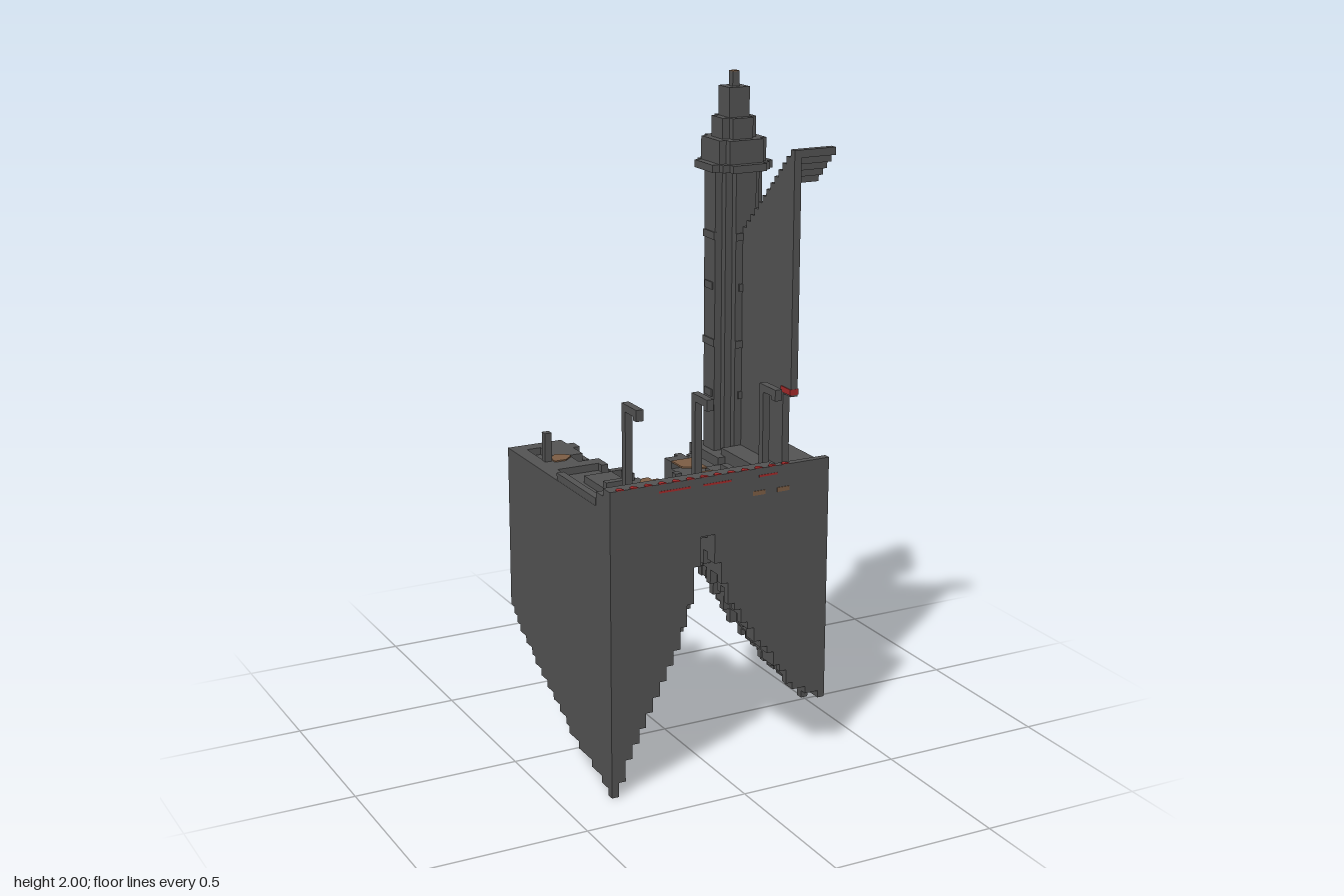
import * as THREE from 'three';
import { mergeGeometries } from 'three/addons/utils/BufferGeometryUtils.js';

const U = 2 / 91, H = 16 * U; // block size, half width of the plot
const TOP = 39;               // ground level in blocks

const mat = (name, color) => {
  const m = new THREE.MeshStandardMaterial({ color });
  m.name = name;
  return m;
};

// box geometry from its bounds
function span(x0, x1, y0, y1, z0, z1) {
  return new THREE.BoxGeometry(x1 - x0, y1 - y0, z1 - z0)
    .translate((x0 + x1) / 2, (y0 + y1) / 2, (z0 + z1) / 2);
}

// value of the last step starting at or before z
const step = (table, z) => {
  let v = table[0][1];
  for (const [s, x] of table) if (z >= s) v = x;
  return v;
};

// straight interpolation through points
function lerp(points, t) {
  for (let i = 1; i < points.length; i++) {
    const [a, va] = points[i - 1], [b, vb] = points[i];
    if (t <= b) return va + (vb - va) * Math.max(0, (t - a) / (b - a));
  }
  return points[points.length - 1][1];
}

// repeatable noise from 0 to 1
const noise = (a, b) => {
  const s = Math.sin(a * 12.99 + b * 78.23) * 43758.55;
  return s - Math.floor(s);
};

// inner edges of the two rocks, stepping along z
const LEFT_EDGE = [[-0.36, -0.176], [-0.31, -0.154], [-0.2, -0.22], [-0.132, -0.154], [-0.066, -0.176],
  [-0.044, -0.198], [-0.022, -0.132], [0, -0.11], [0.066, -0.132], [0.11, -0.11], [0.132, -0.088], [0.2, -0.066], [0.264, -0.044]];
const RIGHT_EDGE = [[-0.36, 0.36], [-0.286, 0.33], [-0.242, 0.286], [-0.198, 0.264], [-0.176, 0.198], [-0.154, 0.176],
  [-0.132, 0.154], [-0.11, 0.132], [-0.088, 0.11], [-0.066, 0.066], [-0.044, 0.022], [0.066, 0], [0.088, -0.022],
  [0.11, 0], [0.132, -0.022], [0.242, -0.044]];
// underside height along the outer sides
const LEFT_BASE = [[-0.35, 0.36], [-0.3, 0.31], [-0.2, 0.25], [-0.1, 0.19], [0, 0.14], [0.1, 0.085], [0.2, 0.06], [0.3, 0.025], [0.34, 0]];
const RIGHT_BASE = [[-0.29, 0.83], [-0.2, 0.65], [-0.1, 0.5], [0.05, 0.33], [0.2, 0.21], [0.35, 0.18]];
// rise of the underside from outer side (0) to inner edge (1)
const LEFT_RISE = [[0, 0], [0.07, 0.06], [0.27, 0.23], [0.5, 0.38], [0.67, 0.5], [0.8, 0.66], [0.88, 0.82], [1, 0.97]];
const RIGHT_RISE = [[0, 0], [0.22, 0.06], [0.38, 0.18], [0.52, 0.3], [0.67, 0.42], [0.8, 0.55], [0.87, 0.66], [0.94, 0.82], [1, 0.96]];

// a rock of square columns; side -1 or +1 is its outer side in x
function rock(side) {
  const [edges, base, rise] = side < 0 ? [LEFT_EDGE, LEFT_BASE, LEFT_RISE] : [RIGHT_EDGE, RIGHT_BASE, RIGHT_RISE];
  const parts = [];
  for (let k = 0; k < 32; k++) {
    const z = -H + (k + 0.5) * U, edge = step(edges, z), low = lerp(base, z);
    for (let i = 0; i < 32; i++) {
      const x = -H + (i + 0.5) * U;
      if ((x - edge) * side < 0) continue;
      const t = (H - x * side - U / 2) / (H - edge * side);
      // the rear of the left rock ends in a steep cliff
      const steep = side < 0 ? lerp([[-0.35, 0.6], [0.15, 0.9], [0.35, 1]], z) : 1;
      let bottom = Math.round((low + (TOP * U - low) * lerp(rise, t) * steep) / U);
      const inside = i > 0 && i < 31 && k > 0 && k < 31;
      if (inside) bottom += Math.round((noise(i, k) - 0.4) * 2.2);
      // shallow hollows in the ground
      const hollow = inside && i > 1 && k > 1 && k < 27 && noise(i >> 2, k >> 2) < 0.4 ? 1 : 0;
      const top = TOP - hollow;
      bottom = Math.max(0, Math.min(bottom, top - 1));
      parts.push(span(x - U / 2, x + U / 2, bottom * U, top * U, z - U / 2, z + U / 2));
    }
  }
  return mergeGeometries(parts);
}

export function createModel() {
  const group = new THREE.Group();
  const stone = mat('dark stone', 0x545454), wood = mat('brown wood', 0x7d5e45);
  const red = mat('red', 0xa52a2a), pale = mat('pale glass', 0xc8c8c8);
  const add = (name, geometry, material) => {
    const m = new THREE.Mesh(geometry, material);
    m.name = name;
    group.add(m);
  };

  add('leftRock', rock(-1), stone);
  add('rightRock', rock(1), stone);

  // front walkway bridging the rocks, with its parapet and platform
  add('walkway', span(-H, 0.33, 0.835, 0.9, 0.264, H), stone);
  add('parapet', span(-H, 0.176, 0.9, 0.923, 0.308, 0.33), stone);
  add('frontLedge', span(-H, H, 0.895, 0.923, 0.33, H), stone);
  add('platform', span(0.154, H, 0.857, 0.9, 0.066, H), stone);
  add('towerFoot', span(0.13, 0.33, 0.85, 0.879, -0.088, 0.09), stone);
  for (const [x, z, w, d, h] of [[-0.3, -0.18, 0.022, 0.022, 0.945], [-0.34, 0.13, 0.022, 0.26, 0.879],
    [-0.23, 0.14, 0.07, 0.022, 0.879], [-0.165, 0.085, 0.022, 0.044, 0.879], [0.12, 0.2, 0.022, 0.11, 0.879]])
    add('groundBlock', span(x - w / 2, x + w / 2, 0.835, h, z - d / 2, z + d / 2), stone);

  // red points along the top of the ledge
  const points = [];
  for (let i = 0; i < 13; i++) {
    const x = -0.319 + i * 2 * U;
    const tri = new THREE.Shape([[-0.011, 0], [0.011, 0], [0.011, 0.009], [0, 0.02], [-0.011, 0.009]].map(p => new THREE.Vector2(...p)));
    points.push(new THREE.ExtrudeGeometry(tri, { depth: 0.003, bevelEnabled: false })
      .rotateX(-Math.PI / 2).translate(x, 0.922, H));
  }
  add('redTrim', mergeGeometries(points), red);
  for (const [a, b] of [[-0.2, -0.1], [-0.06, 0.03], [0.12, 0.18]])
    add('redStripe', span(a, b, 0.897, 0.903, H - 0.002, H + 0.001), red);

  // wooden patches on the ground, as flat outlines in x and z
  const patches = [
    [[-0.255, -0.22], [-0.222, -0.195], [-0.222, -0.18], [-0.25, -0.155], [-0.286, -0.155], [-0.286, -0.19]],
    [[0.022, 0], [0.088, 0], [0.088, 0.1], [0.07, 0.1], [0.022, 0.066]],
    [[-0.132, 0.11], [-0.11, 0.11], [-0.11, 0.132], [-0.09, 0.132], [-0.09, 0.198], [-0.068, 0.198], [-0.068, 0.22], [-0.154, 0.165], [-0.154, 0.14]],
    [[0.05, 0.132], [0.088, 0.132], [0.088, 0.152], [0.044, 0.152], [0.044, 0.14]]];
  for (const p of patches) {
    const shape = new THREE.Shape(p.map(([x, z]) => new THREE.Vector2(x, -z)));
    add('woodPatch', new THREE.ExtrudeGeometry(shape, { depth: 0.005, bevelEnabled: false })
      .rotateX(-Math.PI / 2).translate(0, 0.856, 0), wood);
  }
  add('frontBeam', span(0.1, 0.14, 0.844, 0.857, H - 0.002, H + 0.002), wood);
  add('frontBeam', span(0.18, 0.22, 0.844, 0.857, H - 0.002, H + 0.002), wood);
  add('sideBeam', span(H - 0.002, H + 0.002, 0.844, 0.857, 0.155, 0.18), wood);

  // tower of stacked blocks with stepped corners
  const cx = 0.23, cz = -0.011;
  const tier = (name, half, cut, y0, y1) => {
    for (let c = cut; c >= 0; c--) {
      const a = half - c * U, b = half - (cut - c) * U;
      add(name, span(cx - a, cx + a, y0, y1, cz - b, cz + b), stone);
    }
  };
  tier('towerShaft', 3.5 * U, 2, 0.85, 1.72);
  tier('towerRing', 4.5 * U, 2, 1.72, 1.742);
  tier('towerCrown', 3.5 * U, 1, 1.742, 1.81);
  tier('towerRoof', 2.5 * U, 1, 1.81, 1.87);
  tier('towerSpire', 1.5 * U, 0, 1.87, 1.956);
  tier('towerTip', 0.5 * U, 0, 1.956, 1.998);
  add('tipCap', span(cx - U / 2, cx + U / 2, 1.995, 2, cz - U / 2, cz + U / 2), wood);

  // small sills around the shaft
  for (const [y, w] of [[1.055, 0.022], [1.21, 0.033], [1.38, 0.022], [1.53, 0.033]]) {
    add('sill', span(cx - 0.081, cx + 0.081, y - U / 2, y + U / 2, cz - w, cz + w), stone);
    add('sill', span(cx - w, cx + w, y - U / 2, y + U / 2, cz - 0.081, cz + 0.081), stone);
  }

  // side fin with pale panes
  const fin = (x0, x1, y0, y1, m) => add(m === pale ? 'pane' : 'fin', span(x0, x1, y0, y1, -0.022, 0), m);
  fin(0.3, H, 0.88, 1.055, stone);
  fin(0.3, H, 1.32, 1.538, stone);
  fin(0.3, 0.33, 1.3, 1.32, stone);
  fin(0.3, H, 1.077, 1.12, pale);
  fin(0.3, 0.33, 1.165, 1.21, pale);
  fin(0.3, H, 1.21, 1.275, pale);
  fin(0.33, H, 1.3, 1.32, pale);

  // tall thin wall rising to the front, under a stepped roof strip
  for (let k = 0; k < 13; k++) {
    const z = 0.066 + k * U, y = 1.56 + k * U, front = k > 10;
    add('wall', span(0.22, 0.242, front ? 1.12 : 0.88, y, z, z + U), stone);
    add('roofStep', span(0.22, k > 7 ? H : 0.3, y - U, y, z, z + U), stone);
  }
  add('wallMark', span(0.217, 0.245, 1.125, 1.142, 0.3, H + 0.001), red);

  // hooked posts along the walkway
  for (const x of [-0.253, -0.033, 0.187]) {
    const a = x - U / 2, b = x + U / 2;
    add('post', span(a, b, 0.85, 1.143, 0.25, 0.25 + U), stone);
    add('postArm', span(a, b, 1.121, 1.143, 0.25, 0.34), stone);
    add('postHook', span(a, b, 1.11, 1.121, 0.32, 0.34), stone);
  }
  return group;
}
